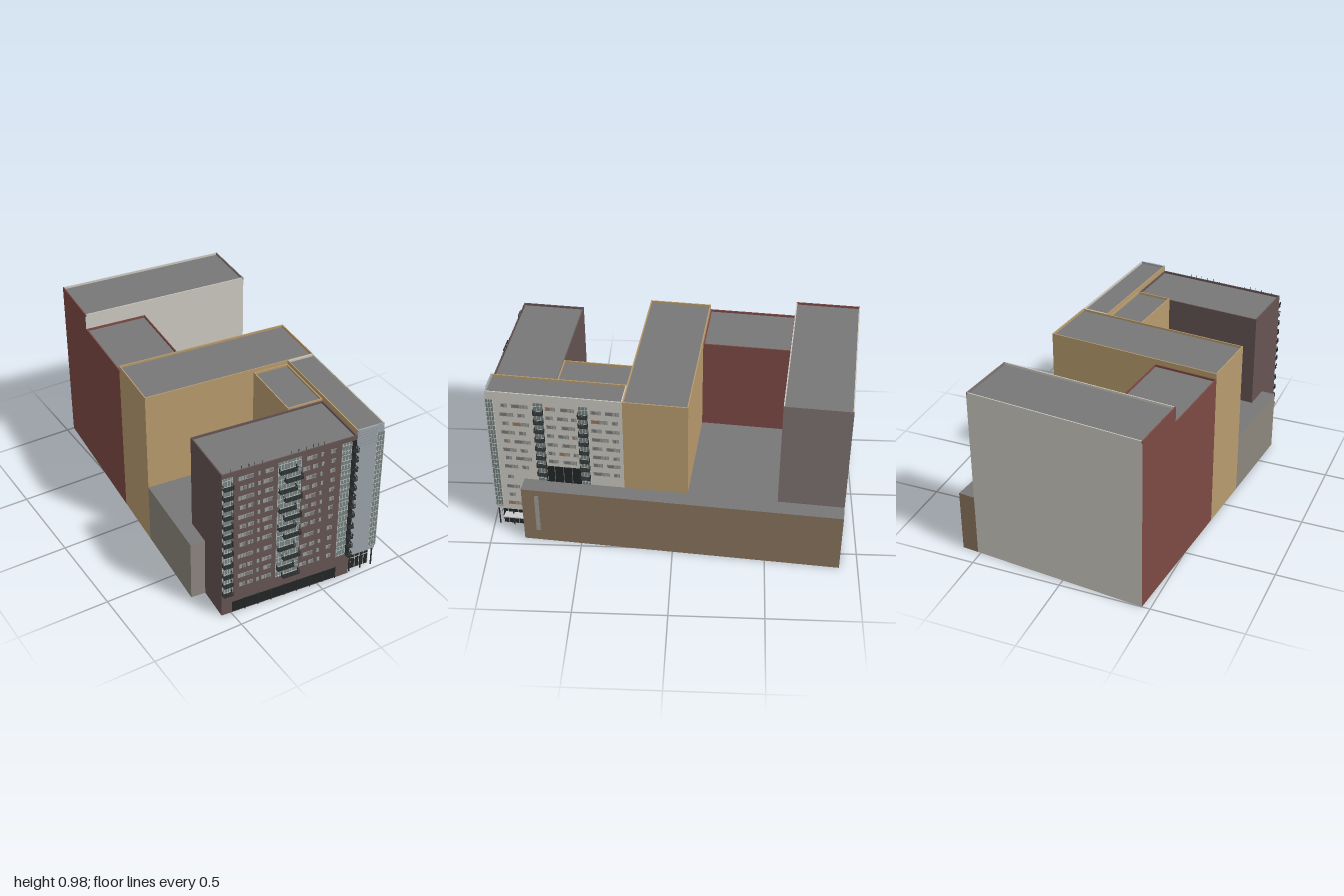
import * as THREE from 'three';
import { mergeGeometries } from 'three/addons/utils/BufferGeometryUtils.js';

const C = {
  white: 0xcbc9c0, taupe: 0x7d7370, red: 0x7d4a44, tan: 0xb89b6e, maroon: 0x665454, brown: 0x8b755d,
  grey: 0x8c877e, silver: 0x9ba3a9, roof: 0x777777, glass: 0x72817e, frame: 0xc2c6c2, dark: 0x222626,
  rail: 0x2d3031, pane: 0x9c9d99, curtain: 0x77787a, amber: 0xa8734f, base: 0x4a4846,
};
const mats = {};
const mat = (name) => (mats[name] ??= new THREE.MeshStandardMaterial({ color: C[name] }));

// Box given by its limits in plan (x, z) and height (y)
function box(x0, x1, y0, y1, z0, z1) {
  return new THREE.BoxGeometry(x1 - x0, y1 - y0, z1 - z0)
    .translate((x0 + x1) / 2, (y0 + y1) / 2, (z0 + z1) / 2);
}

export function createModel() {
  const group = new THREE.Group();
  group.name = 'apartmentComplex';
  const parts = new Map();

  // Collect boxes by part, merged into one mesh each at the end
  const add = (name, color, ...b) => {
    if (!parts.has(name)) parts.set(name, { color, list: [] });
    parts.get(name).list.push(box(...b));
  };

  // Building volume with a sunken roof and thin parapets; walls = [right, left, front, back]
  const block = (name, x0, x1, z0, z1, y0, y1, walls, lip = 0.012) => {
    const [r, l, f, b] = walls;
    const g = new THREE.Group();
    g.name = name;
    const six = [r, l, 'roof', 'base', f, b].map(mat);
    const body = new THREE.Mesh(box(x0, x1, y0, y1 - lip, z0, z1), six);
    body.name = name + 'Walls';
    g.add(body);
    if (lip > 0) {
      const t = 0.006, lo = y1 - lip;
      [[x1 - t, x1, z0, z1, r], [x0, x0 + t, z0, z1, l],
        [x0 + t, x1 - t, z1 - t, z1, f], [x0 + t, x1 - t, z0, z0 + t, b]].forEach(([a, c, d, e, m]) => {
        const p = new THREE.Mesh(box(a, c, lo, y1, d, e), mat(m));
        p.name = name + 'Parapet';
        g.add(p);
      });
    }
    group.add(g);
  };
  const all = (c) => [c, c, c, c];

  const L = -0.547, R = 0.43, P = 0.522, F = 0.942, M = 0.275;

  // Main volumes, back to front
  block('backTower', L, R, -0.953, -0.6, 0, 0.98, ['taupe', 'red', 'white', 'white']);
  block('redLink', L, -0.194, -0.6, -0.12, 0, 0.89, all('red'));
  block('middleTower', L, R, -0.12, 0.222, 0, 0.92, all('tan'));
  block('tanLink', 0.074, M, 0.222, 0.597, 0.35, 0.9, all('tan'));
  block('frontTower', -0.467, M, 0.597, F, 0, 0.89, all('maroon'));
  block('rightWing', M, R, 0.222, F, 0.12, 0.92, ['white', 'tan', 'silver', 'white']);

  // Low podium around the towers
  block('sidePodium', R, P, -0.953, 0.77, 0, 0.35, all('brown'), 0);
  block('courtPodium', -0.194, R, -0.6, -0.12, 0, 0.35, all('brown'), 0);
  block('gardenPodium', L, M, 0.222, 0.597, 0, 0.35, all('grey'), 0);
  block('gardenPodiumEnd', L, -0.467, 0.597, 0.75, 0, 0.35, all('grey'), 0);
  block('wingBase', M, R, 0.222, 0.77, 0, 0.12, all('brown'), 0);
  add('podiumLightStrip', 'pane', P, P + 0.003, 0.07, 0.31, 0.678, 0.7);

  // Place a box on the front face or the right face: a = along wall, d = outward
  const front = (n, c, a0, a1, y0, y1, d0, d1) => add(n, c, a0, a1, y0, y1, F + d0, F + d1);
  const side = (n, c, a0, a1, y0, y1, d0, d1) => add(n, c, R + d0, R + d1, y0, y1, a0, a1);

  const floors = [0.17, 0.23, 0.289, 0.357, 0.43, 0.489, 0.544, 0.603, 0.662, 0.721, 0.78, 0.839];

  // Window with a light pane, mullions and a darker half
  const windowOn = (on, a0, a1, y, tint = 'pane') => {
    const h = 0.012;
    on('windowPanes', 'pane', a0, a1, y - h, y + h, 0, 0.0015);
    const m = (a0 + a1) / 2;
    if (a1 - a0 > 0.02) on(tint + 'Shades', tint === 'pane' ? 'curtain' : tint, m, a1 - 0.003, y - h + 0.003, y + h - 0.003, 0, 0.0025);
    const n = Math.max(1, Math.round((a1 - a0) / 0.018));
    for (let i = 0; i <= n; i++) {
      const a = a0 + ((a1 - a0) * i) / n;
      on('windowFrames', 'curtain', a - 0.0008, a + 0.0008, y - h, y + h, 0, 0.0035);
    }
  };

  // Glazed strip with a mullion grid
  const glazing = (on, a0, a1, y0, y1, nA) => {
    on('glazing', 'glass', a0, a1, y0, y1, 0, 0.003);
    for (let i = 0; i <= nA; i++) {
      const a = a0 + ((a1 - a0) * i) / nA;
      on('mullions', 'frame', a - 0.0008, a + 0.0008, y0, y1, 0, 0.0045);
    }
    for (const y of floors) for (const d of [-0.022, 0.012]) {
      if (y + d > y0 && y + d < y1) on('mullions', 'frame', a0, a1, y + d - 0.0008, y + d + 0.0008, 0, 0.0045);
    }
  };

  // Balcony with slab, top rail and balusters
  const balcony = (on, a0, a1, y, depth) => {
    const y0 = y - 0.028, y1 = y - 0.004, t = 0.0015;
    on('balconySlabs', 'rail', a0, a1, y0 - 0.003, y0 + 0.001, 0, depth);
    on('balconyRails', 'rail', a0, a1, y1 - t, y1, depth - t, depth);
    for (const a of [a0, a1 - t]) {
      on('balconyRails', 'rail', a, a + t, y1 - t, y1, 0, depth);
      for (let d = 0.007; d < depth; d += 0.007) on('balusters', 'rail', a, a + t, y0, y1, d - t, d);
    }
    const n = Math.max(3, Math.round((a1 - a0) / 0.007));
    for (let i = 0; i <= n; i++) {
      const a = a0 + ((a1 - a0 - t) * i) / n;
      on('balusters', 'rail', a, a + t, y0, y1, depth - t, depth);
    }
  };

  // Front facade
  glazing(front, -0.465, -0.41, 0.14, 0.865, 4);
  glazing(front, -0.163, -0.037, 0.14, 0.865, 8);
  glazing(front, 0.193, 0.245, 0.14, 0.865, 3);
  front('darkGlazing', 'dark', 0.245, 0.273, 0.14, 0.865, 0, 0.003);
  const rowA = [[-0.379, -0.294], [-0.273, -0.259], [-0.234, -0.19], [-0.007, 0.053], [0.073, 0.087], [0.128, 0.157]];
  const rowB = [[-0.37, -0.335], [-0.325, -0.294], [-0.273, -0.259], [-0.245, -0.19],
    [-0.027, 0.013], [0.028, 0.058], [0.078, 0.093], [0.133, 0.158]];
  floors.forEach((y, i) => {
    for (const [a, b] of i % 2 ? rowA : rowB) windowOn(front, a, b, y);
    balcony(front, -0.467, -0.415, y, 0.03);
    balcony(front, i % 2 ? -0.163 : -0.132, i % 2 ? -0.068 : -0.037, y, 0.03);
    balcony(front, 0.247, 0.274, y, 0.03);
  });

  // Street-level shopfront
  for (let i = 0; i < 8; i++) {
    const a = -0.409 + i * 0.0755;
    front('shopfront', 'dark', a, a + 0.072, 0.006, 0.07, 0, 0.002);
    front('shopfrontPosts', 'rail', a + 0.072, a + 0.0755, 0, 0.075, 0, 0.005);
  }

  // Roof-edge posts
  for (const a of [-0.42, -0.36, -0.32, -0.29, -0.25, -0.09, -0.05, -0.01, 0.03, 0.06, 0.09]) {
    add('roofPosts', 'rail', a, a + 0.002, 0.89, 0.907, F - 0.008, F - 0.006);
  }

  // Metal-clad front of the wing and its glazed corner
  front('metalCladding', 'silver', M + 0.001, 0.388, 0.12, 0.92, 0, 0.004);
  for (let i = 0; i < 6; i++) {
    front('claddingJoints', 'curtain', M + 0.001, 0.388, 0.825 + i * 0.015, 0.826 + i * 0.015, 0, 0.0045);
  }
  glazing(front, 0.39, 0.432, 0.14, 0.87, 3);
  glazing(side, 0.902, F, 0.14, 0.87, 3);

  // Right facade of the wing
  glazing(side, 0.637, 0.69, 0.35, 0.87, 3);
  glazing(side, 0.402, 0.452, 0.35, 0.87, 3);
  side('terraceGlazing', 'dark', 0.452, 0.643, 0.35, 0.455, 0, 0.004);
  for (const a of [0.5, 0.547, 0.595]) side('terraceFrames', 'curtain', a, a + 0.003, 0.35, 0.455, 0, 0.006);
  const sideA = [[0.83, 0.86], [0.72, 0.805], [0.575, 0.625], [0.475, 0.545], [0.335, 0.385], [0.24, 0.31]];
  const sideB = [[0.8, 0.87], [0.74, 0.775], [0.59, 0.625], [0.51, 0.565], [0.465, 0.49], [0.3, 0.385], [0.245, 0.275]];
  floors.forEach((y, i) => {
    (i % 2 ? sideA : sideB).forEach(([a, b], k) => {
      const hidden = (y < 0.36 && a < 0.76) || (y < 0.47 && a > 0.45 && a < 0.64);
      if (!hidden) windowOn(side, a, b, y, (i * 3 + k) % 7 === 0 ? 'amber' : 'pane');
    });
    if (y > 0.38) for (const a of [0.637, 0.402]) balcony(side, a, a + 0.052, y, 0.028);
  });

  // Recessed entrance under the wing
  add('entranceGlass', 'dark', M, 0.41, 0, 0.12, 0.77, 0.915);
  for (let i = 0; i <= 5; i++) {
    const a = M + i * 0.0266;
    add('entranceFrames', 'frame', a, a + 0.002, 0, 0.12, 0.915, 0.918);
    add('entranceFrames', 'frame', 0.41, 0.413, 0, 0.12, 0.77 + i * 0.0285, 0.772 + i * 0.0285);
  }
  add('entranceFrames', 'frame', M, 0.412, 0.07, 0.072, 0.915, 0.918);
  for (const [x, z] of [[0.285, 0.93], [0.352, 0.93], [0.418, 0.93], [0.418, 0.85]]) {
    add('entranceColumns', 'rail', x, x + 0.006, 0, 0.12, z, z + 0.006);
  }
  add('entranceCanopy', 'frame', 0.405, 0.455, 0.075, 0.081, 0.77, 0.9);
  add('podiumDoor', 'white', 0.437, 0.49, 0, 0.05, 0.77, 0.774);
  add('podiumWindow', 'dark', 0.44, 0.5, 0.085, 0.115, 0.77, 0.775);

  for (const [name, { color, list }] of parts) {
    const mesh = new THREE.Mesh(mergeGeometries(list), mat(color));
    mesh.name = name;
    group.add(mesh);
  }

  // The whole plan is turned slightly on its site
  group.rotation.y = -0.0932;
  return group;
}
